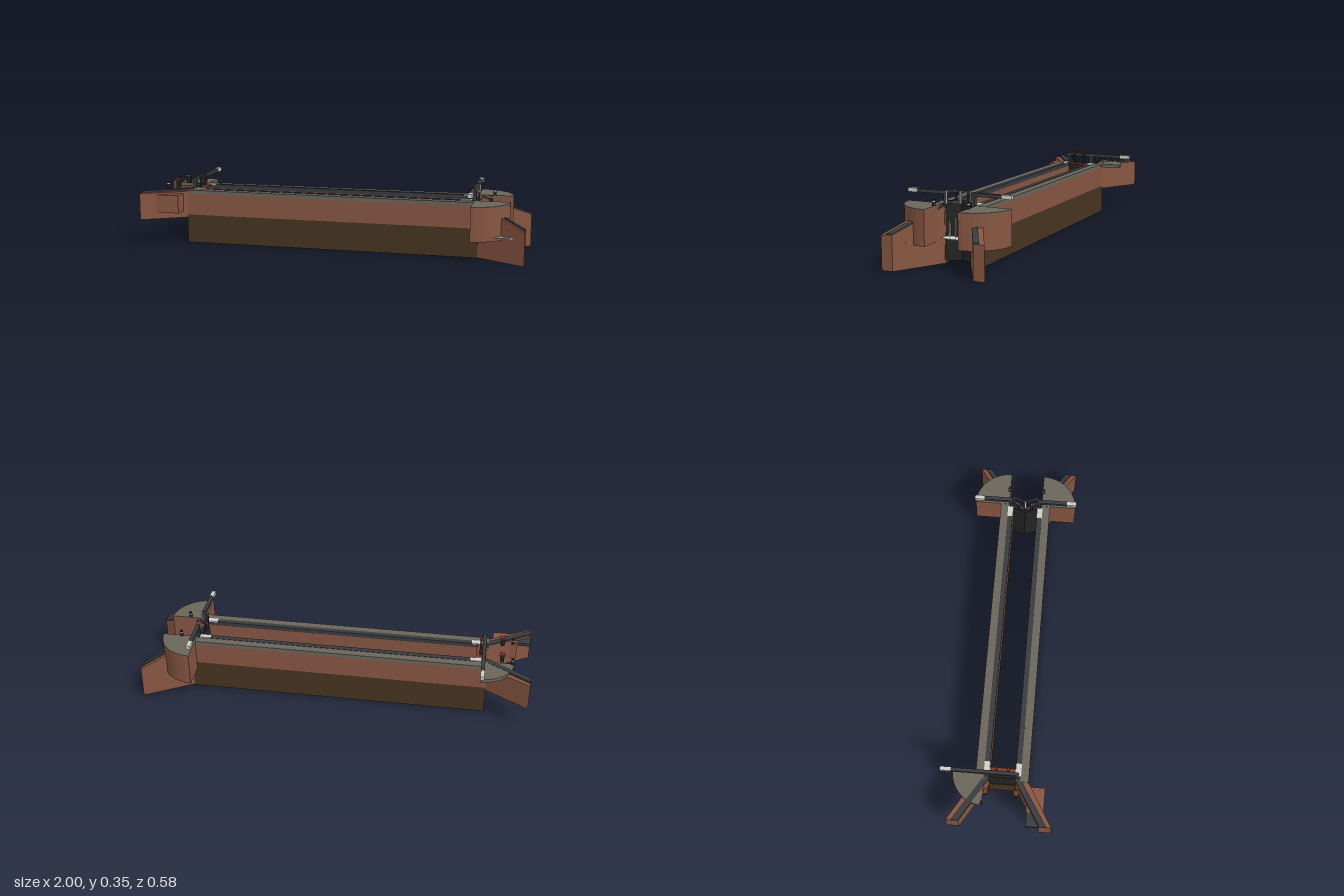
import * as THREE from 'three';

const material = (name, color) => {
  const m = new THREE.MeshStandardMaterial({ color });
  m.name = name;
  return m;
};

export function createModel() {
  const brick = material('brick', 0x875642);
  const earth = material('earth', 0x463420);
  const stone = material('stone', 0x6a665b);
  const edging = material('dark edging', 0x3a3b40);
  const timber = material('black timber', 0x242424);
  const white = material('white paint', 0xcfcfca);
  const red = material('red paint', 0x7a3a2c);

  const model = new THREE.Group();
  model.name = 'canalLock';
  const lock = new THREE.Group();
  lock.name = 'lockChamber';
  lock.position.z = 0.0175; // centre line of the channel
  model.add(lock);

  const add = (name, geometry, mat, parent = lock) => {
    const mesh = new THREE.Mesh(geometry, mat);
    mesh.name = name;
    parent.add(mesh);
    return mesh;
  };

  // Box given by its limits; s = -1 mirrors it across the channel
  const box = (name, mat, [x0, x1], [y0, y1], [z0, z1], s = 1, parent = lock) => {
    const g = new THREE.BoxGeometry(x1 - x0, y1 - y0, z1 - z0);
    g.translate((x0 + x1) / 2, (y0 + y1) / 2, (s * (z0 + z1)) / 2);
    return add(name, g, mat, parent);
  };

  // Splayed wall: z limits and heights are given at both x ends
  const splay = (name, mat, [x0, x1], zStart, zEnd, yStart, yEnd, s) => {
    const g = new THREE.BoxGeometry(1, 1, 1);
    const p = g.attributes.position;
    const { lerp } = THREE.MathUtils;
    for (let i = 0; i < p.count; i++) {
      const t = p.getX(i) + 0.5;
      const top = p.getY(i) > 0 ? 1 : 0;
      const side = p.getZ(i) * s > 0 ? 1 : 0;
      p.setXYZ(i, lerp(x0, x1, t), lerp(yStart[top], yEnd[top], t),
        s * lerp(zStart[side], zEnd[side], t));
    }
    const flat = g.toNonIndexed();
    flat.computeVertexNormals();
    return add(name, flat, mat);
  };

  // Quarter-round block: dir is the x direction of the curve
  const quarter = (name, mat, cx, cz, rx, rz, [y0, y1], dir, s) => {
    const shape = new THREE.Shape([new THREE.Vector2(cx, -s * cz)]);
    for (let i = 0; i <= 12; i++) {
      const a = (i / 12) * Math.PI / 2;
      shape.lineTo(cx + dir * rx * Math.cos(a), -s * (cz + rz * Math.sin(a)));
    }
    const g = new THREE.ExtrudeGeometry(shape, { depth: y1 - y0, bevelEnabled: false });
    g.rotateX(-Math.PI / 2);
    g.translate(0, y0, 0);
    return add(name, g, mat);
  };

  const post = (name, mat, r, x, [y0, y1], z, sides = 10) => {
    const g = new THREE.CylinderGeometry(r, r, y1 - y0, sides);
    g.translate(x, (y0 + y1) / 2, z);
    return add(name, g, mat);
  };

  for (const s of [1, -1]) {
    // Long chamber walls with coping
    box('wallFooting', earth, [-0.785, 0.757], [0, 0.15], [0.067, 0.1325], s);
    box('wall', brick, [-0.785, 0.757], [0.15, 0.262], [0.067, 0.1325], s);
    box('wallCoping', stone, [-0.785, 0.737], [0.262, 0.282], [0.09, 0.1325], s);
    box('wallEdging', edging, [-0.785, 0.737], [0.262, 0.284], [0.065, 0.092], s);
    for (const [a, b] of [[-0.76, -0.695], [0.662, 0.72]])
      box('edgeStone', white, [a, b], [0.28, 0.286], [0.064, 0.093], s);

    // Lower abutments and sloping wing walls
    quarter('abutment', brick, 0.735, 0.0875, 0.18, 0.183, [0.11, 0.279], 1, s);
    quarter('abutmentTop', stone, 0.735, 0.0875, 0.18, 0.183, [0.279, 0.284], 1, s);
    splay('lowerWing', brick, [0.755, 1], [0.067, 0.125], [0.207, 0.265],
      [0, 0.274], [0, 0.168], s);
    splay('lowerWingCoping', edging, [0.755, 1], [0.067, 0.098], [0.207, 0.238],
      [0.272, 0.281], [0.166, 0.175], s);

    // Upper wing walls
    splay('upperWing', brick, [-1, -0.785], [0.197, 0.26], [0.067, 0.1325],
      [0.135, 0.275], [0.135, 0.275], s);
    splay('upperWingCoping', edging, [-1, -0.785], [0.2, 0.235], [0.067, 0.1],
      [0.273, 0.285], [0.273, 0.285], s);

    // Bollards
    for (const x of [-0.908, 0.817]) {
      post('bollard', timber, 0.008, x, [0.284, 0.304], s * 0.091);
      post('bollardBand', white, 0.0085, x, [0.304, 0.309], s * 0.091);
      post('bollardCap', timber, 0.008, x, [0.309, 0.316], s * 0.091);
    }

    // Ground paddle gear beside the upper gate
    box('paddleStand', timber, [-0.864, -0.844], [0.284, 0.325], [0.066, 0.084], s);
    box('paddleCap', red, [-0.868, -0.84], [0.325, 0.332], [0.063, 0.087], s);

    // Lower mitre gate leaf, pointing upstream
    splay('lowerGateLeaf', timber, [0.69, 0.72], [-0.0005, 0.0005], [0.067, 0.068],
      [0.012, 0.286], [0.012, 0.286], s).visible = true;
    const leaf = new THREE.Shape([[0.688, 0], [0.714, 0], [0.743, 0.067], [0.717, 0.067]]
      .map(([x, z]) => new THREE.Vector2(x, -s * z)));
    const leafGeometry = new THREE.ExtrudeGeometry(leaf, { depth: 0.274, bevelEnabled: false });
    leafGeometry.rotateX(-Math.PI / 2);
    leafGeometry.translate(0, 0.012, 0);
    add('lowerGatePanel', leafGeometry, timber);
    splay('gateWalkway', edging, [0.7, 0.745], [0, 0.02], [0.04, 0.066],
      [0.286, 0.3], [0.286, 0.3], s);

    // Balance beam with its heel post and painted end
    box('balanceBeam', edging, [0.722, 0.742], [0.328, 0.345], [0.067, 0.2225], s);
    box('balanceBeamEnd', white, [0.721, 0.743], [0.327, 0.346], [0.2225, 0.2725], s);
    box('heelPost', edging, [0.722, 0.742], [0.284, 0.345], [0.067, 0.082], s);

    // Gate paddle gear and handrail
    box('gatePaddleRod', timber, [0.702, 0.712], [0.29, 0.345], [0.028, 0.039], s);
    box('gatePaddleCap', red, [0.699, 0.715], [0.345, 0.35], [0.027, 0.04], s);
    box('railPost', white, [0.742, 0.747], [0.284, 0.345], [0.06, 0.064], s);
    box('railPost', white, [0.722, 0.727], [0.284, 0.345], [0.001, 0.006], s);
    splay('handrail', white, [0.722, 0.747], [0, 0.006], [0.058, 0.066],
      [0.342, 0.346], [0.342, 0.346], s);
  }

  // Upper cill, single gate and its balance beam
  box('upperCill', earth, [-0.775, -0.72], [0, 0.14], [-0.067, 0.067]);
  box('upperGate', timber, [-0.772, -0.75], [0.14, 0.286], [-0.067, 0.067]);
  box('upperGateWalkway', red, [-0.75, -0.722], [0.276, 0.284], [-0.067, 0.067]);
  box('upperBalanceBeam', edging, [-0.77, -0.752], [0.323, 0.341], [-0.253, 0.08]);
  box('upperBalanceBeamEnd', white, [-0.771, -0.751], [0.322, 0.342], [-0.3075, -0.253]);
  for (const z of [-0.072, 0.072])
    box('upperGatePost', edging, [-0.77, -0.752], [0.284, 0.323], [z - 0.009, z + 0.009]);
  for (const z of [-0.03, 0.03]) {
    box('upperPaddleRod', timber, [-0.748, -0.738], [0.284, 0.345], [z - 0.005, z + 0.005]);
    box('upperPaddleCap', red, [-0.75, -0.736], [0.345, 0.35], [z - 0.007, z + 0.007]);
  }

  // Curved paving for pushing the upper beam
  quarter('upperPaving', stone, -0.752, 0.09, 0.165, 0.158, [0.266, 0.284], -1, -1);

  // Brick block and small slab beside the upper wing
  box('wingBlock', brick, [-0.93, -0.803], [0.17, 0.265], [0.13, 0.217]);
  box('wingSlab', edging, [-1, -0.93], [0.25, 0.265], [0.132, 0.2]);

  // Water leaking through the lower gate
  box('waterLedge', white, [0.735, 0.8], [0.126, 0.13], [-0.066, 0.067]);
  for (const z of [0.044, 0.013, -0.02, -0.047])
    box('waterJet', white, [0.748, 0.754], [0.13, z === 0.013 ? 0.22 : 0.206], [z - 0.003, z + 0.003]);
  box('sideLedge', white, [0.84, 0.94], [0.126, 0.13], [0.165, 0.23]);

  return model;
}
